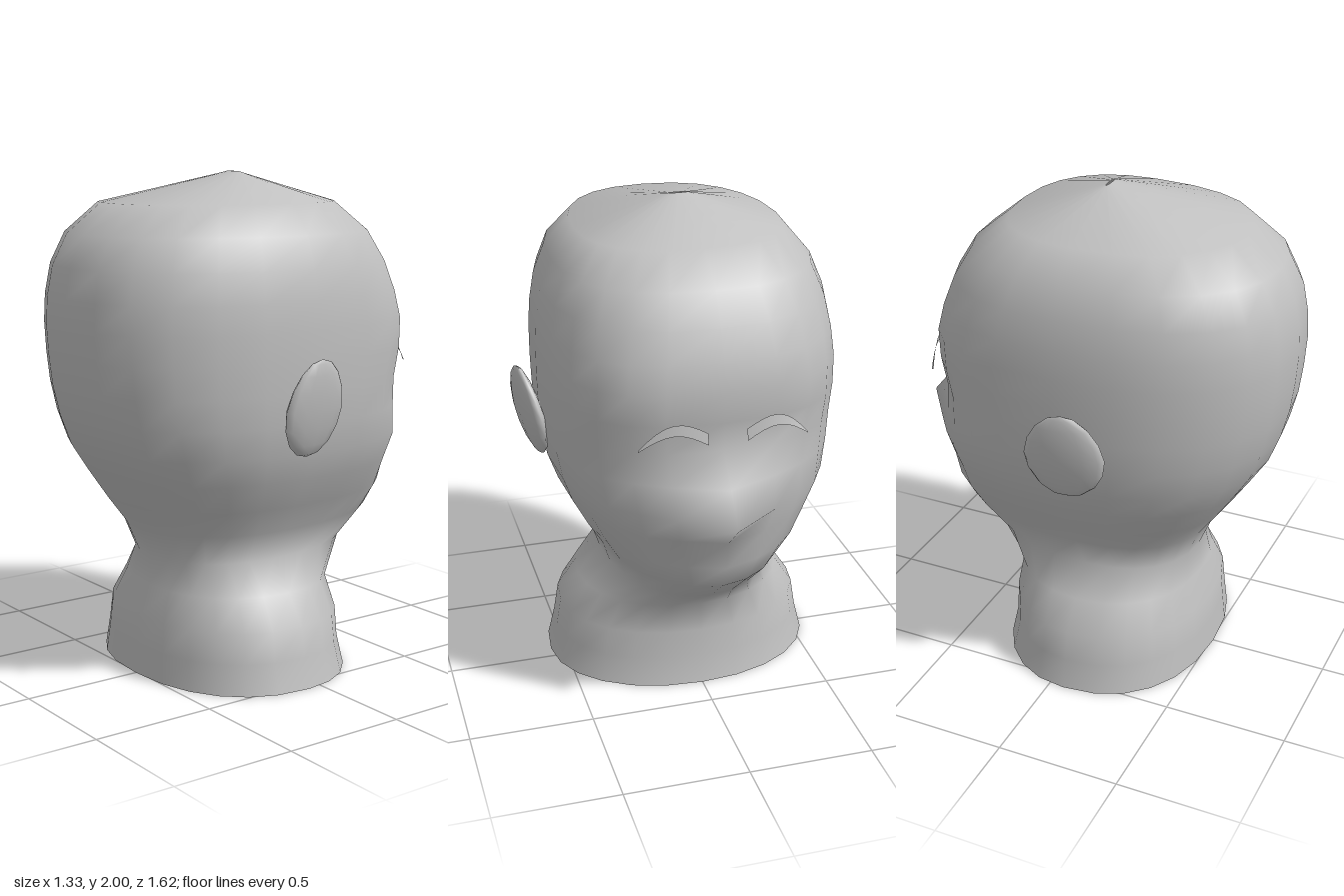
import * as THREE from 'three';

// Head rings: y, half width, back z, front z, extra depth on the centre line, front squareness
const RINGS = [
  [0.00, 0.56, 0.51, -0.365, 0, 2.1],
  [0.12, 0.53, 0.50, -0.34, 0, 2.1],
  [0.24, 0.51, 0.49, -0.34, 0, 2.1],
  [0.36, 0.43, 0.445, -0.33, 0, 2.1],
  [0.48, 0.335, 0.43, -0.47, 0, 2.1],
  [0.60, 0.375, 0.48, -0.60, 0.01, 2.2],
  [0.71, 0.44, 0.56, -0.63, 0.04, 2.4],
  [0.83, 0.505, 0.64, -0.625, 0.065, 2.5],
  [0.94, 0.545, 0.71, -0.645, 0.163, 2.6],
  [1.06, 0.568, 0.755, -0.62, 0.09, 2.6],
  [1.18, 0.575, 0.785, -0.605, 0.005, 2.7],
  [1.30, 0.578, 0.80, -0.625, 0, 2.8],
  [1.42, 0.577, 0.808, -0.63, 0, 2.8],
  [1.53, 0.57, 0.803, -0.605, 0, 2.7],
  [1.65, 0.55, 0.78, -0.56, 0, 2.6],
  [1.77, 0.505, 0.72, -0.49, 0, 2.5],
  [1.885, 0.41, 0.58, -0.35, 0, 2.4],
  [2.00, 0.04, 0.025, 0.015, 0, 2],
];
const COLS = 24;

// Joins equal-length rows of points into one smooth surface
function surface(rows, closed) {
  const n = rows[0].length, index = [];
  for (let i = 0; i < rows.length - 1; i++) {
    for (let j = 0; j < (closed ? n : n - 1); j++) {
      const k = (j + 1) % n, a = i * n, b = a + n;
      index.push(a + j, a + k, b + k, a + j, b + k, b + j);
    }
  }
  const geo = new THREE.BufferGeometry();
  geo.setAttribute('position', new THREE.Float32BufferAttribute(rows.flat(2), 3));
  geo.setIndex(index);
  geo.computeVertexNormals();
  return geo;
}

function headRing([y, w, back, front, extra, square]) {
  const mid = y > 1.9 ? 0.02 : y < 0.5 ? 0.06 : 0.04;
  const ring = [];
  for (let j = 0; j < COLS; j++) {
    const a = (j / COLS) * Math.PI * 2, s = Math.sin(a), c = Math.cos(a);
    const e = 2 / (c >= 0 ? 2.3 : square);
    const x = w * Math.sign(s) * Math.abs(s) ** e;
    let z = mid + (c >= 0 ? back - mid : front - mid) * Math.sign(c) * Math.abs(c) ** e * Math.sign(c);
    const fromNose = Math.abs(j - COLS / 2);
    if (fromNose === 0) z -= extra;
    if (fromNose === 1) z -= extra * 0.25;
    ring.push([x, y, z]);
  }
  return ring;
}

export function createModel() {
  const model = new THREE.Group();
  const clay = new THREE.MeshStandardMaterial({ color: 0xc0c0c0, side: THREE.DoubleSide });
  clay.name = 'grey clay';
  const add = (name, geo, parent = model) => {
    const mesh = new THREE.Mesh(geo, clay);
    mesh.name = name;
    parent.add(mesh);
    return mesh;
  };

  // Head and neck in one skin, open at the base
  add('headAndNeck', surface(RINGS.map(headRing), true));

  // Ears: flattened, tilted lobes, pointed at the top; the second is the first turned half round
  const earGeo = new THREE.SphereGeometry(1, 12, 8);
  const p = earGeo.attributes.position;
  for (let i = 0; i < p.count; i++) {
    const y = p.getY(i), taper = y > 0 ? 1 - 0.12 * y : 1;
    p.setXYZ(i, p.getX(i) * 0.04 * taper, y * 0.195, p.getZ(i) * 0.158 * taper);
  }
  earGeo.computeVertexNormals();
  for (const [name, turn] of [['leftEar', 0], ['rightEar', Math.PI]]) {
    const pivot = new THREE.Group();
    pivot.name = name + 'Pivot';
    pivot.position.z = 0.095;
    pivot.rotation.y = turn;
    model.add(pivot);
    const ear = add(name, earGeo, pivot);
    ear.position.set(0.607, 1.13, -0.01);
    ear.rotation.set(0, 0.17, -0.2);
  }

  // Eyebrows: arched ribbons, thick near the nose and tapering outwards
  for (const side of [1, -1]) {
    const lower = [], upper = [];
    for (let i = 0; i <= 8; i++) {
      const t = i / 8, arch = Math.sin(Math.PI * t);
      const x = side * (0.075 + 0.255 * t);
      const y = 1.24 - 0.02 * t + 0.055 * arch;
      const z = -0.67 + 0.05 * t * t;
      const h = 0.042 * (1 - t ** 3) + 0.003;
      lower.push([x, y, z]);
      upper.push([x, y + h, z + 0.008]);
    }
    add(side > 0 ? 'leftEyebrow' : 'rightEyebrow', surface(side > 0 ? [upper, lower] : [lower, upper], false));
  }
  return model;
}
